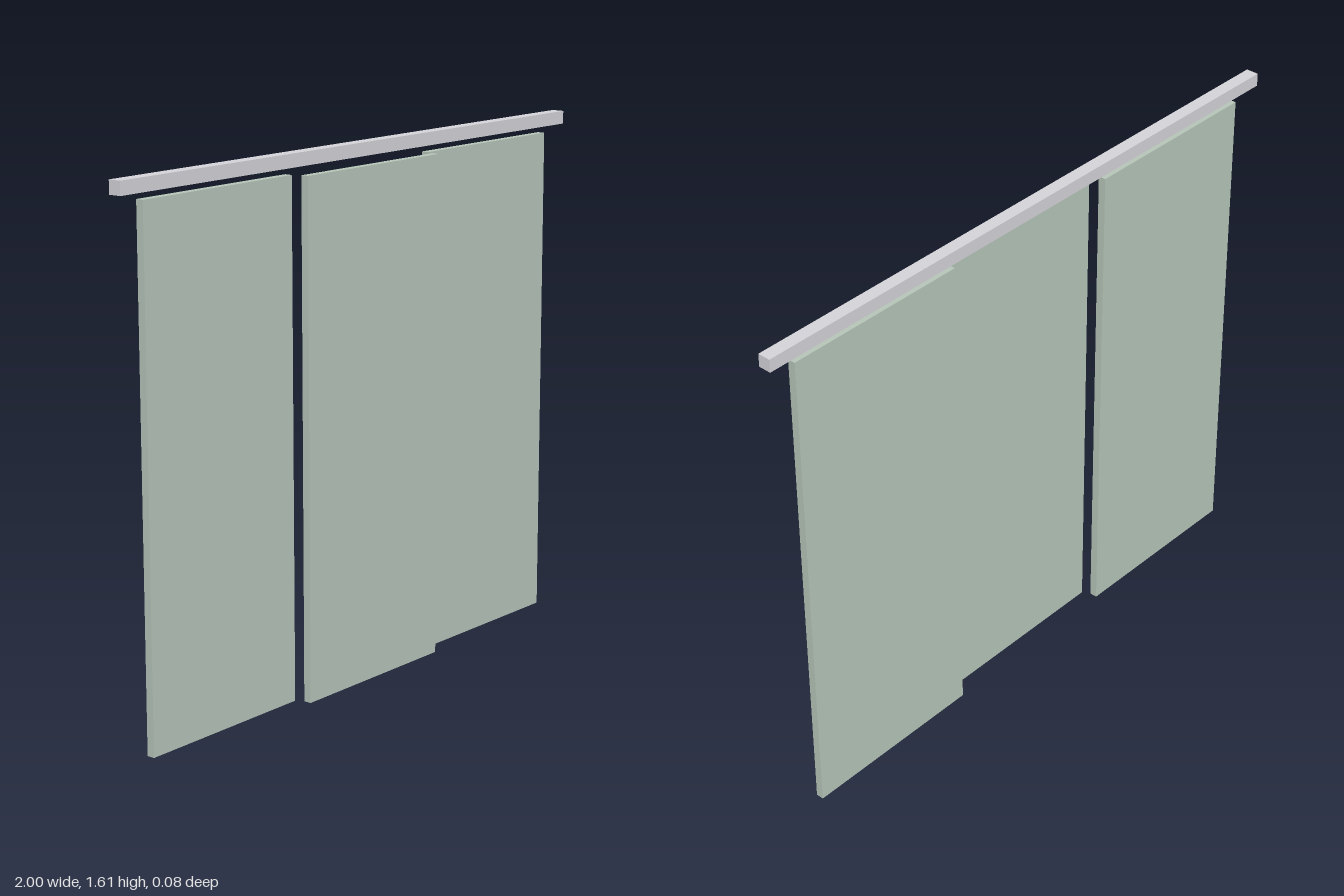
import * as THREE from 'three';

export function createModel() {
  const group = new THREE.Group();
  const railMaterial = new THREE.MeshStandardMaterial({ color: 0xd3d2d7 });
  const panelMaterial = new THREE.MeshStandardMaterial({ color: 0xb5c4b8 });

  const addBox = (name, size, position, material) => {
    const mesh = new THREE.Mesh(new THREE.BoxGeometry(...size), material);
    mesh.name = name;
    mesh.position.set(...position);
    group.add(mesh);
  };

  // Overhead track
  addBox('topRail', [2, 0.04, 0.04], [0, 1.585, -0.02], railMaterial);

  // Sliding panels: the middle one runs in front of the outer two
  const height = 1.544;
  const panels = [['rightPanel', -0.61, -0.02], ['middlePanel', 0, 0.028], ['leftPanel', 0.61, -0.02]];
  for (const [name, x, z] of panels) {
    addBox(name, [0.597, height, 0.024], [x, height / 2, z], panelMaterial);
  }
  return group;
}
